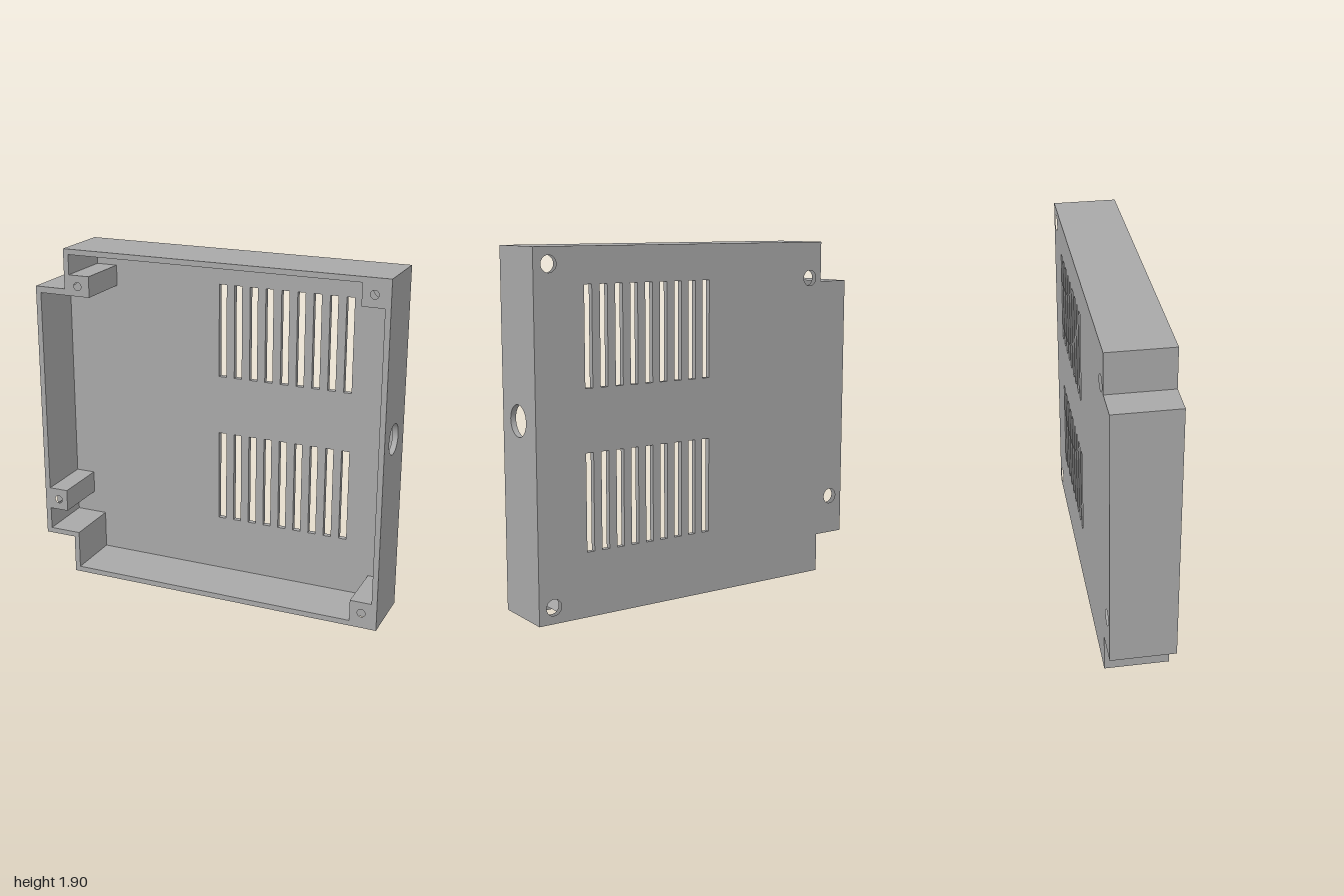
import * as THREE from 'three';
import { toCreasedNormals } from 'three/addons/utils/BufferGeometryUtils.js';

const BACK = -0.175, FLOOR = -0.145, BORE = 0.05, RIM = 0.175;
const HEAD_R = 0.043, SCREW_R = 0.022;
const SCREWS = [[0.915, 0.087], [0.915, 1.815], [-0.74, 1.7], [-0.915, 0.432]];

const shapeOf = (pts) => new THREE.Shape(pts.map(([x, y]) => new THREE.Vector2(x, y)));

const circle = (x, y, r) => new THREE.Path().absarc(x, y, r, 0, Math.PI * 2, true);

const rect = (x0, y0, x1, y1) => [[x0, y0], [x1, y0], [x1, y1], [x0, y1]];

function extrude(shape, z0, z1) {
  const g = new THREE.ExtrudeGeometry(shape, { depth: z1 - z0, bevelEnabled: false, curveSegments: 20 });
  g.translate(0, 0, z0);
  return toCreasedNormals(g, 0.6);
}

export function createModel() {
  const group = new THREE.Group();
  const grey = new THREE.MeshStandardMaterial({ color: 0xa8a8a8 });
  grey.name = 'grey plastic';
  const add = (name, geometry) => {
    const mesh = new THREE.Mesh(geometry, grey);
    mesh.name = name;
    group.add(mesh);
    return mesh;
  };

  // Notched outline, from the lower right corner round to the upper right
  const notches = [[-0.82, 0], [-0.82, 0.215], [-1, 0.215], [-1, 1.68], [-0.82, 1.68], [-0.82, 1.9]];

  // Back plate with vent slots and screw head holes
  const plate = shapeOf([[1, 0], ...notches, [1, 1.9]]);
  for (const [x, y] of SCREWS) plate.holes.push(circle(x, y, HEAD_R));
  for (let i = 0; i < 9; i++) {
    const x = -0.025 + i * 0.09;
    for (const [y0, y1] of [[0.345, 0.86], [1.19, 1.71]]) {
      plate.holes.push(new THREE.Path(rect(x - 0.022, y0, x + 0.022, y1).map(([a, b]) => new THREE.Vector2(a, b))));
    }
  }
  add('backPlate', extrude(plate, BACK, FLOOR));

  // Side walls with the four screw posts, open where the right-hand wall fits
  const inner = [
    [0.85, 1.75], [0.85, 1.87], [-0.79, 1.87], [-0.79, 1.76], [-0.67, 1.76], [-0.67, 1.645],
    [-0.97, 1.645], [-0.97, 0.495], [-0.86, 0.495], [-0.86, 0.37], [-0.97, 0.37], [-0.97, 0.245],
    [-0.79, 0.245], [-0.79, 0.03], [0.85, 0.03], [0.85, 0.15],
  ];
  const walls = (radius) => {
    const s = shapeOf([[1, 0], ...notches, [1, 1.9], [1, 1.75], ...inner, [1, 0.15]]);
    for (const [x, y] of SCREWS) s.holes.push(circle(x, y, radius));
    return s;
  };
  add('wallsWithHeadBores', extrude(walls(HEAD_R), FLOOR, BORE));
  add('wallsWithScrewHoles', extrude(walls(SCREW_R), BORE, RIM));

  // Wall with the round cable opening, drawn in (-z, y) and turned to face +x
  const side = shapeOf(rect(-RIM, 0.15, -FLOOR, 1.75));
  side.holes.push(circle(-0.01, 1.027, 0.083));
  const sideGeometry = extrude(side, 0.97, 1);
  sideGeometry.rotateY(Math.PI / 2);
  add('cableWall', sideGeometry);

  return group;
}
